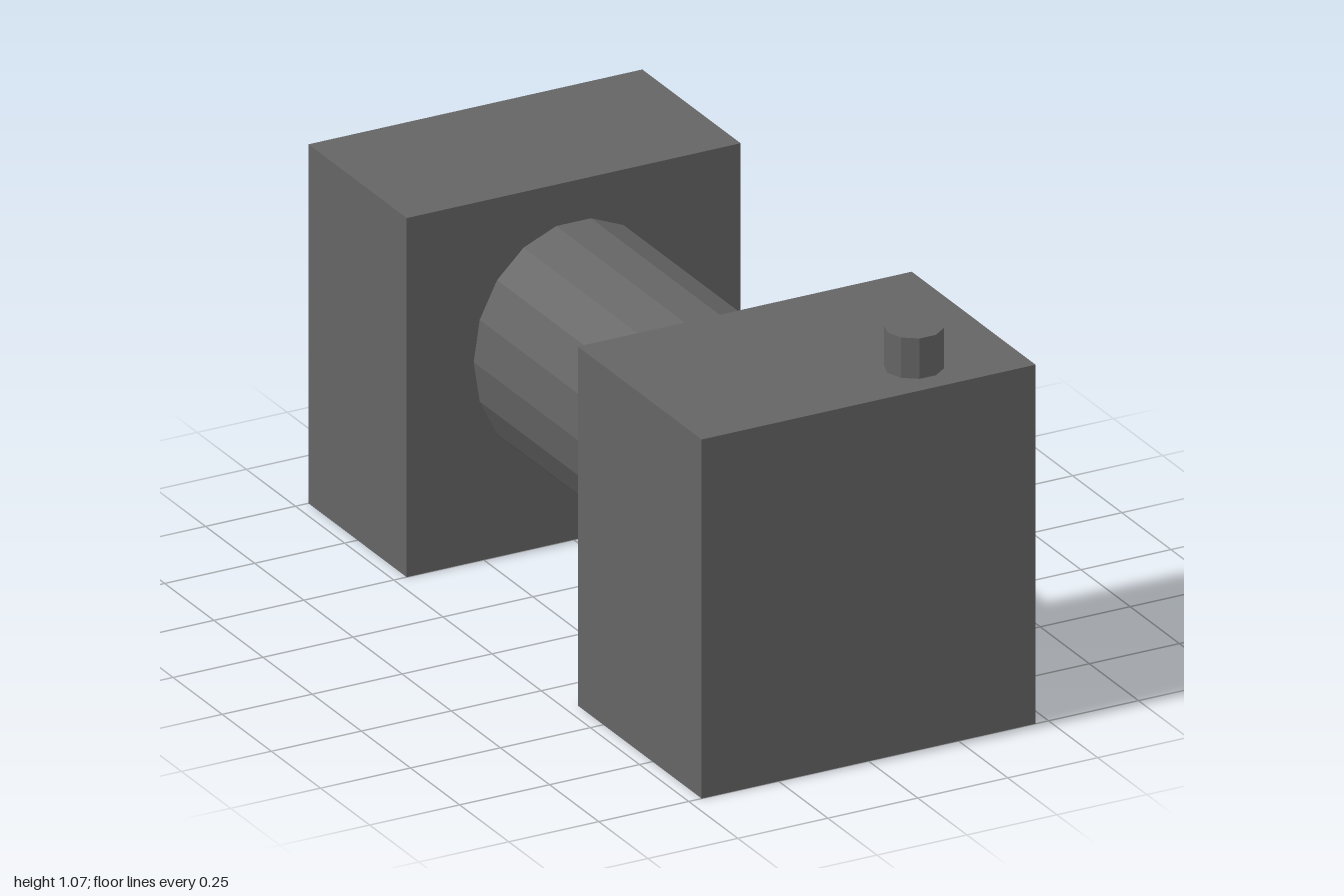
import * as THREE from 'three';

export function createModel() {
  const group = new THREE.Group();
  const grey = new THREE.MeshStandardMaterial({ color: 0x646464, flatShading: true });
  grey.name = 'dark grey';

  const add = (name, geometry, x, y, z) => {
    const mesh = new THREE.Mesh(geometry, grey);
    mesh.name = name;
    mesh.position.set(x, y, z);
    group.add(mesh);
    return mesh;
  };
  // Faceted cylinder with a corner on the x axis
  const faceted = (radius, length, sides) =>
    new THREE.CylinderGeometry(radius, radius, length, sides, 1, false, Math.PI / 2);

  // End blocks
  const width = 0.928, height = 0.96;
  add('frontBlock', new THREE.BoxGeometry(width, height, 0.63), 0, height / 2, 0.685);
  add('backBlock', new THREE.BoxGeometry(width, height, 0.5), 0, height / 2, -0.75);

  // Slightly oval barrel joining the blocks
  const barrel = faceted(1, 0.87, 18).rotateX(Math.PI / 2).scale(0.278, 0.319, 1);
  add('barrel', barrel, 0, 0.535, -0.065);

  // Small knob on top of the front block
  add('knob', faceted(0.074, 0.108, 10), 0.198, height + 0.054, 0.868);

  return group;
}
